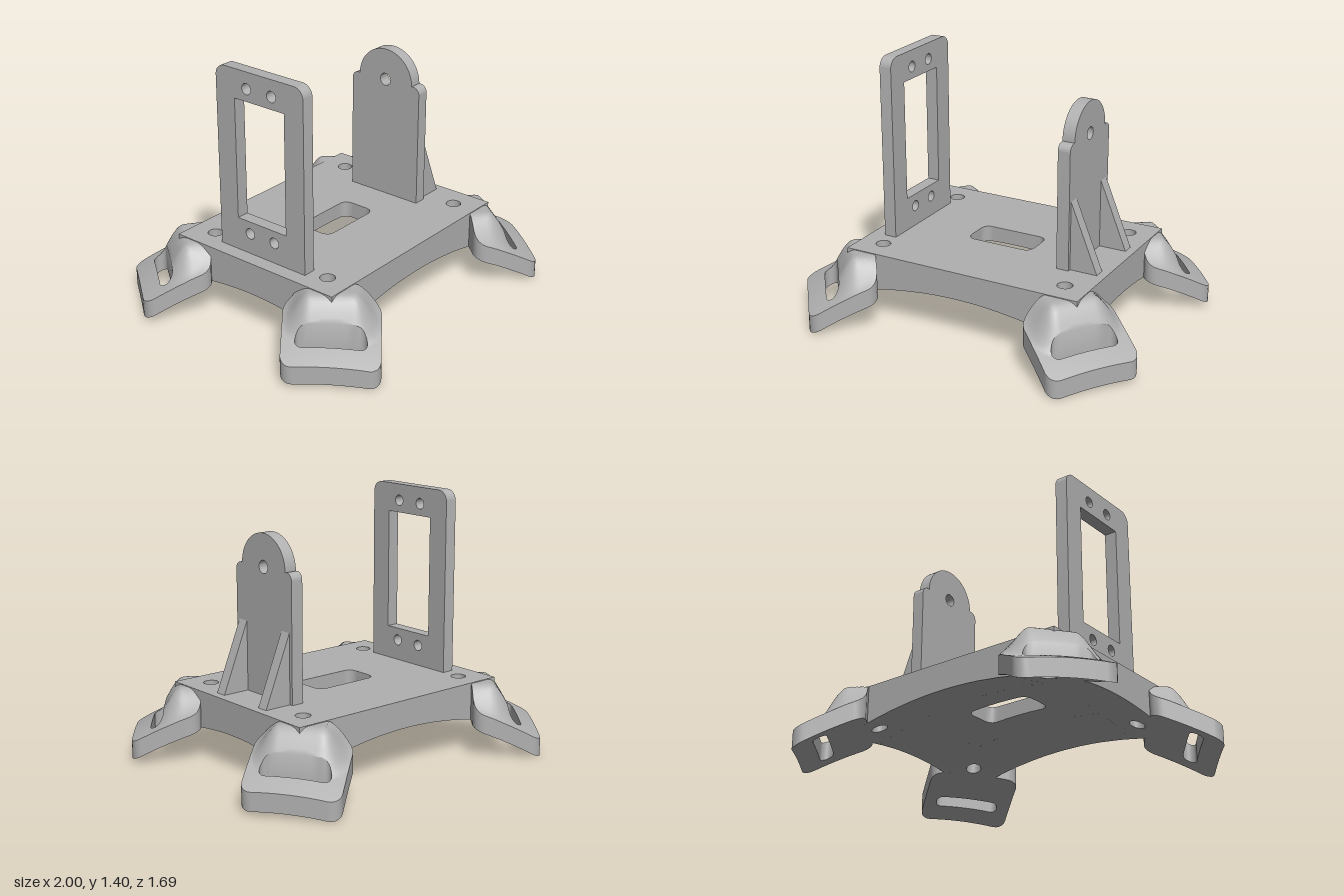
import * as THREE from 'three';
import { toCreasedNormals } from 'three/addons/utils/BufferGeometryUtils.js';

const grey = new THREE.MeshStandardMaterial({ color: 0xb0b0b0 });
grey.name = 'plain grey';

const TOP = 0.385;

// Domed underside shared by the plate and the feet
const dome = (x, z) => 0.303 - 2.05 + Math.sqrt(2.05 ** 2 - z * z - 0.83 * x * x);

const smooth = (t) => {
  t = Math.min(1, Math.max(0, t));
  return t * t * (3 - 2 * t);
};

// Distance from a point to the edge of a rounded rectangle { a, b, ha, hb, r }
function edgeDistance(p, q, o) {
  const da = Math.abs(p - o.a) - o.ha + o.r, db = Math.abs(q - o.b) - o.hb + o.r;
  return Math.hypot(Math.max(da, 0), Math.max(db, 0)) + Math.min(Math.max(da, db), 0) - o.r;
}

// Distance along a ray from (a, b) to the outline
function reach(a, b, angle, o) {
  let lo = 0, hi = 2;
  for (let i = 0; i < 40; i++) {
    const mid = (lo + hi) / 2;
    if (edgeDistance(a + mid * Math.cos(angle), b + mid * Math.sin(angle), o) < 0) lo = mid;
    else hi = mid;
  }
  return lo;
}

// Solid between a top and a bottom height rule, lofted in rings from a hole to an outline
function slab({ outline, hole, centre, turn = 0, top, rings, count }) {
  const [ca, cb] = centre;
  const angles = [];
  for (let i = 0; i < count; i++) angles.push(((i + 0.5) / count) * Math.PI * 2 - Math.PI);
  for (const o of [outline, hole]) {
    if (!o) continue;
    for (const s of [-1, 1]) for (const t of [-1, 1]) {
      angles.push(Math.atan2(o.b + t * o.hb - cb, o.a + s * o.ha - ca));
      if (o.r > 0.001) {
        angles.push(Math.atan2(o.b + t * (o.hb - o.r) - cb, o.a + s * o.ha - ca));
        angles.push(Math.atan2(o.b + t * o.hb - cb, o.a + s * (o.ha - o.r) - ca));
      }
    }
  }
  angles.sort((p, q) => p - q);
  const spokes = angles.filter((v, i) => i === 0 || v - angles[i - 1] > 1e-4);

  const cos = Math.cos(turn), sin = Math.sin(turn);
  const columns = spokes.map((angle) => {
    const r0 = hole ? reach(ca, cb, angle, hole) : 0;
    const r1 = reach(ca, cb, angle, outline);
    return Array.from({ length: rings + 1 }, (_, j) => {
      const r = r0 + ((r1 - r0) * j) / rings;
      const a = ca + r * Math.cos(angle), b = cb + r * Math.sin(angle);
      const x = a * cos - b * sin, z = a * sin + b * cos;
      return { hi: [x, top(x, z, a, b), z], lo: [x, dome(x, z), z] };
    });
  });

  const pos = [];
  const quad = (a, b, c, d) => pos.push(...a, ...b, ...c, ...a, ...c, ...d);
  columns.forEach((p, i) => {
    const q = columns[(i + 1) % columns.length];
    for (let j = 0; j < rings; j++) {
      quad(p[j].hi, q[j].hi, q[j + 1].hi, p[j + 1].hi);
      quad(p[j].lo, p[j + 1].lo, q[j + 1].lo, q[j].lo);
    }
    quad(p[rings].lo, p[rings].hi, q[rings].hi, q[rings].lo);
    if (hole) quad(p[0].lo, q[0].lo, q[0].hi, p[0].hi);
  });
  const geo = new THREE.BufferGeometry();
  geo.setAttribute('position', new THREE.Float32BufferAttribute(pos, 3));
  return toCreasedNormals(geo, 0.6);
}

function add(parent, name, geo) {
  const mesh = new THREE.Mesh(geo, grey);
  mesh.name = name;
  parent.add(mesh);
  return mesh;
}

const circle = (x, y, r) => new THREE.Path().absarc(x, y, r, 0, Math.PI * 2, true);

// Upright plate: shape drawn in (z, y), thickness along x
function upright(shape, x0, x1) {
  const geo = new THREE.ExtrudeGeometry(shape, { depth: x1 - x0, bevelEnabled: false, curveSegments: 24 });
  geo.rotateY(-Math.PI / 2).translate(x1, 0, 0);
  return toCreasedNormals(geo, 0.6);
}

export function createModel() {
  const model = new THREE.Group();
  model.name = 'bracketBase';

  // Base plate in nine cells, with a centre opening and four screw holes
  const base = new THREE.Group();
  base.name = 'basePlate';
  model.add(base);
  const xs = [-0.692, -0.42, 0.42, 0.692], zs = [-0.535, -0.25, 0.25, 0.535];
  for (let i = 0; i < 3; i++) {
    for (let k = 0; k < 3; k++) {
      const outline = {
        a: (xs[i] + xs[i + 1]) / 2, b: (zs[k] + zs[k + 1]) / 2,
        ha: (xs[i + 1] - xs[i]) / 2, hb: (zs[k + 1] - zs[k]) / 2, r: 0,
      };
      let hole = null;
      if (i === 1 && k === 1) hole = { a: 0, b: 0, ha: 0.195, hb: 0.1, r: 0.045 };
      if (i !== 1 && k !== 1) hole = { a: (i - 1) * 0.553, b: (k - 1) * 0.393, ha: 0.041, hb: 0.041, r: 0.041 };
      const centre = hole ? [hole.a, hole.b] : [outline.a, outline.b];
      add(base, 'plateSection', slab({ outline, hole, centre, top: () => TOP, rings: 5, count: 40 }));
    }
  }

  // Four splayed feet with strap slots, each rising in a mound to the plate corner
  const footTop = (x, z, u, v) => {
    const low = dome(x, z) + 0.1;
    const d = Math.hypot(Math.max(0, u - 0.83) / 0.17, Math.max(0, Math.abs(v) - 0.11) / 0.15);
    return low + (TOP - 0.004 - low) * smooth(1 - d);
  };
  for (const sx of [-1, 1]) for (const sz of [-1, 1]) {
    add(model, 'strapFoot', slab({
      outline: { a: 0.915, b: 0, ha: 0.185, hb: 0.25, r: 0.06 },
      hole: { a: 0.967, b: 0, ha: 0.035, hb: 0.18, r: 0.034 },
      centre: [0.967, 0],
      turn: Math.atan2(sz * 0.61, sx * 0.79),
      top: footTop, rings: 14, count: 96,
    }));
  }

  // Tall window frame on the right
  const frame = new THREE.Shape();
  frame.moveTo(-0.29, TOP - 0.01).lineTo(0.29, TOP - 0.01).lineTo(0.29, 1.34);
  frame.absarc(0.23, 1.34, 0.06, 0, Math.PI / 2).absarc(-0.23, 1.34, 0.06, Math.PI / 2, Math.PI);
  frame.closePath();
  frame.holes.push(new THREE.Path().moveTo(-0.165, 0.57).lineTo(-0.165, 1.24)
    .lineTo(0.165, 1.24).lineTo(0.165, 0.57).closePath());
  for (const z of [-0.083, 0.083]) for (const y of [0.5, 1.308]) frame.holes.push(circle(z, y, 0.03));
  add(model, 'windowFrame', upright(frame, -0.61, -0.54));

  // Round-topped pivot post on the left
  const post = new THREE.Shape();
  post.moveTo(-0.23, TOP - 0.01).lineTo(0.23, TOP - 0.01).lineTo(0.23, 1.035);
  post.absarc(0.19, 1.035, 0.04, 0, Math.PI / 2).lineTo(0.18, 1.075);
  post.absarc(0, 1.072, 0.18, 0, Math.PI).lineTo(-0.19, 1.075);
  post.absarc(-0.19, 1.035, 0.04, Math.PI / 2, Math.PI).closePath();
  post.holes.push(circle(0, 1.075, 0.035));
  add(model, 'pivotPost', upright(post, 0.42, 0.49));

  // Two triangular ribs bracing the post
  const rib = new THREE.Shape();
  rib.moveTo(0.485, TOP - 0.01).lineTo(0.645, TOP - 0.01).lineTo(0.645, TOP).lineTo(0.49, 0.765).lineTo(0.485, 0.765).closePath();
  for (const s of [-1, 1]) {
    const geo = new THREE.ExtrudeGeometry(rib, { depth: 0.064, bevelEnabled: false });
    add(model, 'postRib', geo.translate(0, 0, s * 0.178 - 0.032));
  }

  return model;
}
